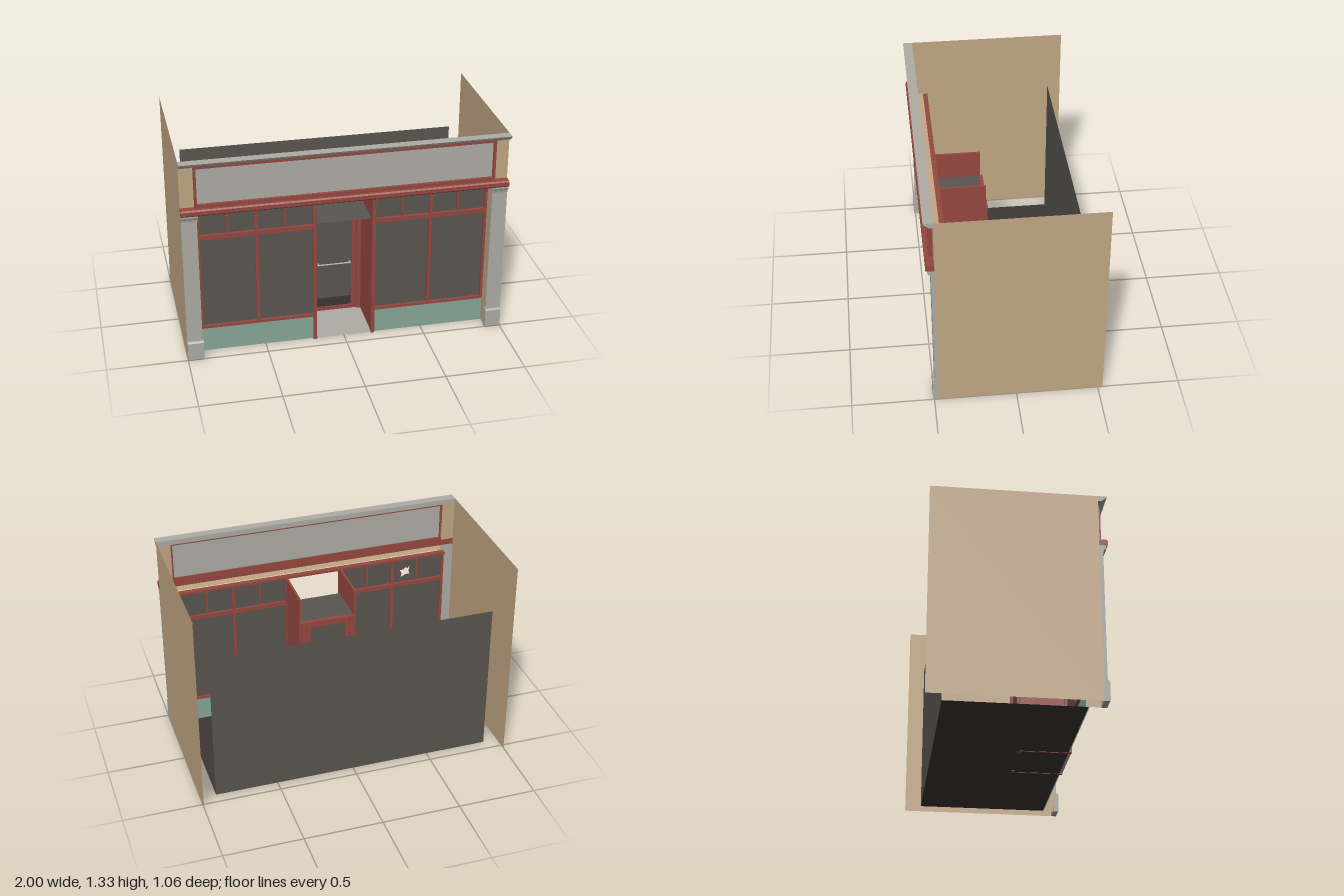
import * as THREE from 'three';

const mat = (name, color, side = THREE.DoubleSide) => {
  const m = new THREE.MeshStandardMaterial({ color, side });
  m.name = name;
  return m;
};

export function createModel() {
  const model = new THREE.Group();
  model.name = 'shopfront';
  const tan = mat('tan wall', 0xc2a784);
  const stone = mat('grey stone', 0xaeaca5);
  const red = mat('red paint', 0x954840);
  const teal = mat('teal panel', 0x87a899);
  const glass = mat('dark glass', 0x5a5650);
  const dark = mat('dark floor', 0x3d3635);

  const add = (name, geometry, material) => {
    const mesh = new THREE.Mesh(geometry, material);
    mesh.name = name;
    model.add(mesh);
    return mesh;
  };
  // Box given by its limits on each axis
  const box = (name, material, x0, x1, y0, y1, z0, z1) => {
    const mesh = add(name, new THREE.BoxGeometry(x1 - x0, y1 - y0, z1 - z0), material);
    mesh.position.set((x0 + x1) / 2, (y0 + y1) / 2, (z0 + z1) / 2);
    return mesh;
  };
  // Upright sheet facing the front
  const sheet = (name, material, x0, x1, y0, y1, z) => {
    const mesh = add(name, new THREE.PlaneGeometry(x1 - x0, y1 - y0), material);
    mesh.position.set((x0 + x1) / 2, (y0 + y1) / 2, z);
    return mesh;
  };
  // Level sheet facing up
  const deck = (name, material, x0, x1, z0, z1, y) => {
    const mesh = add(name, new THREE.PlaneGeometry(x1 - x0, z1 - z0), material);
    mesh.rotation.x = -Math.PI / 2;
    mesh.position.set((x0 + x1) / 2, y, (z0 + z1) / 2);
    return mesh;
  };
  // Upright sheet facing sideways
  const sideSheet = (name, material, x, y0, y1, z0, z1) => {
    const mesh = add(name, new THREE.PlaneGeometry(z1 - z0, y1 - y0), material);
    mesh.rotation.y = Math.PI / 2;
    mesh.position.set(x, (y0 + y1) / 2, (z0 + z1) / 2);
    return mesh;
  };
  // Moulding: a (z, y) profile drawn out along x
  const moulding = (name, material, x0, x1, profile) => {
    const shape = new THREE.Shape(profile.map(([z, y]) => new THREE.Vector2(-z, y)));
    const g = new THREE.ExtrudeGeometry(shape, { depth: x1 - x0, bevelEnabled: false });
    g.rotateY(Math.PI / 2).translate(x0, 0, 0);
    return add(name, g, material);
  };

  // Shell: floor, back wall, side walls
  deck('floor', dark, -0.9, 0.9, -0.43, 0.4, 0.002);
  sheet('backWall', glass, -0.9, 0.9, 0, 1, -0.43);
  deck('soffit', tan, -0.9, 0.9, 0.415, 0.475, 0.997);

  // Fascia: cornice, sign panel with frame, ledge
  moulding('cornice', stone, -1, 1, [[0.47, 1.3], [0.498, 1.3], [0.503, 1.308], [0.522, 1.32], [0.53, 1.333], [0.47, 1.333]]);
  moulding('ledge', red, -1, 1, [[0.473, 0.997], [0.52, 0.997], [0.525, 1.004], [0.525, 1.028], [0.518, 1.036], [0.473, 1.036]]);
  sheet('signPanel', stone, -0.905, 0.905, 1.04, 1.3, 0.482);
  box('signFrameTop', red, -0.915, 0.915, 1.29, 1.306, 0.475, 0.502);
  box('signFrameBottom', red, -0.915, 0.915, 1.036, 1.058, 0.475, 0.502);

  for (const s of [-1, 1]) {
    // Box mirrored to either side of the centre
    const mBox = (name, material, x0, x1, ...rest) =>
      box(name, material, Math.min(s * x0, s * x1), Math.max(s * x0, s * x1), ...rest);
    const mSheet = (name, material, x0, x1, ...rest) =>
      sheet(name, material, Math.min(s * x0, s * x1), Math.max(s * x0, s * x1), ...rest);

    sideSheet('sideWall', tan, s, 0, 1.333, -0.53, 0.475);
    sideSheet('wallReturn', tan, s * 0.905, 0, 1, 0.385, 0.475);
    mSheet('fasciaEnd', tan, 0.91, 1, 1.03, 1.305, 0.475);
    mBox('signFrameSide', red, 0.9, 0.915, 1.036, 1.306, 0.475, 0.502);

    // Pilaster: base, shaft and capital
    const x0 = s > 0 ? 0.9 : -1;
    moulding('pilasterBase', stone, x0, x0 + 0.1, [[0.472, 0], [0.505, 0], [0.508, 0.006], [0.508, 0.12], [0.5, 0.13], [0.472, 0.13]]);
    mBox('pilasterShaft', stone, 0.905, 1, 0.13, 0.955, 0.472, 0.495);
    moulding('pilasterCapital', stone, x0, x0 + 0.1, [[0.472, 0.95], [0.497, 0.95], [0.5, 0.965], [0.51, 0.972], [0.515, 0.985], [0.515, 0.997], [0.472, 0.997]]);

    // Shop window: riser, sill, posts and bars
    mSheet('stallRiser', teal, 0.19, 0.905, 0, 0.17, 0.405);
    mBox('windowSill', red, 0.19, 0.9, 0.166, 0.182, 0.385, 0.42);
    mBox('transomBar', red, 0.19, 0.9, 0.782, 0.81, 0.385, 0.42);
    mBox('cornerPost', red, 0.886, 0.902, 0.166, 0.985, 0.385, 0.418);
    mBox('middlePost', red, 0.532, 0.552, 0.17, 0.98, 0.385, 0.418);
    mBox('recessPost', red, 0.174, 0.196, 0, 0.98, 0.38, 0.42);
    for (const x of [0.365, 0.715]) mBox('transomMullion', red, x - 0.006, x + 0.006, 0.81, 0.98, 0.39, 0.412);

    // Panes; one is broken and is made below
    mSheet('shopWindow', glass, 0.19, 0.895, 0.17, 0.79, 0.4);
    if (s > 0) sheet('transomGlass', glass, 0.19, 0.895, 0.8, 0.98, 0.4);

    // Recess side wall and door jambs
    mBox('recessWall', red, 0.176, 0.19, 0, 0.98, 0.1, 0.39);
    mBox('doorJamb', red, 0.148, 0.178, 0, 0.8, 0.088, 0.112);
    mBox('doorStile', red, 0.115, 0.145, 0.01, 0.788, 0.09, 0.107);
    mBox('handleBracket', stone, 0.098, 0.106, 0.35, 0.362, 0.1, 0.122);
  }
  box('headBar', red, -0.91, 0.91, 0.974, 0.99, 0.385, 0.42);

  // Transom panes beside the broken one, then the pane with a jagged hole
  sheet('transomGlass', glass, -0.895, -0.715, 0.8, 0.98, 0.4);
  sheet('transomGlass', glass, -0.542, -0.19, 0.8, 0.98, 0.4);
  const pane = new THREE.Shape([[-0.715, 0.8], [-0.542, 0.8], [-0.542, 0.98], [-0.715, 0.98]].map(p => new THREE.Vector2(...p)));
  pane.holes.push(new THREE.Path([
    [-0.667, 0.92], [-0.66, 0.885], [-0.667, 0.862], [-0.64, 0.862], [-0.604, 0.845],
    [-0.612, 0.872], [-0.598, 0.897], [-0.625, 0.9], [-0.64, 0.915], [-0.65, 0.905],
  ].map(p => new THREE.Vector2(...p))));
  add('brokenPane', new THREE.ShapeGeometry(pane), glass).position.z = 0.4;

  // Doorway: threshold, ceiling and door
  deck('recessFloor', stone, -0.178, 0.178, 0.1, 0.42, 0.006);
  deck('recessCeiling', glass, -0.178, 0.178, 0.1, 0.39, 0.803);
  box('doorHead', red, -0.178, 0.178, 0.788, 0.808, 0.086, 0.112);
  box('doorTopRail', red, -0.145, 0.145, 0.764, 0.786, 0.09, 0.107);
  box('doorBottomRail', red, -0.145, 0.145, 0.01, 0.036, 0.09, 0.107);
  sheet('doorGlass', glass, -0.12, 0.12, 0.095, 0.77, 0.098);
  sheet('kickPanel', dark, -0.12, 0.12, 0.03, 0.1, 0.1);
  const bar = add('doorHandle', new THREE.CylinderGeometry(0.005, 0.005, 0.216, 8), stone);
  bar.rotation.z = Math.PI / 2;
  bar.position.set(0, 0.356, 0.122);

  return model;
}
